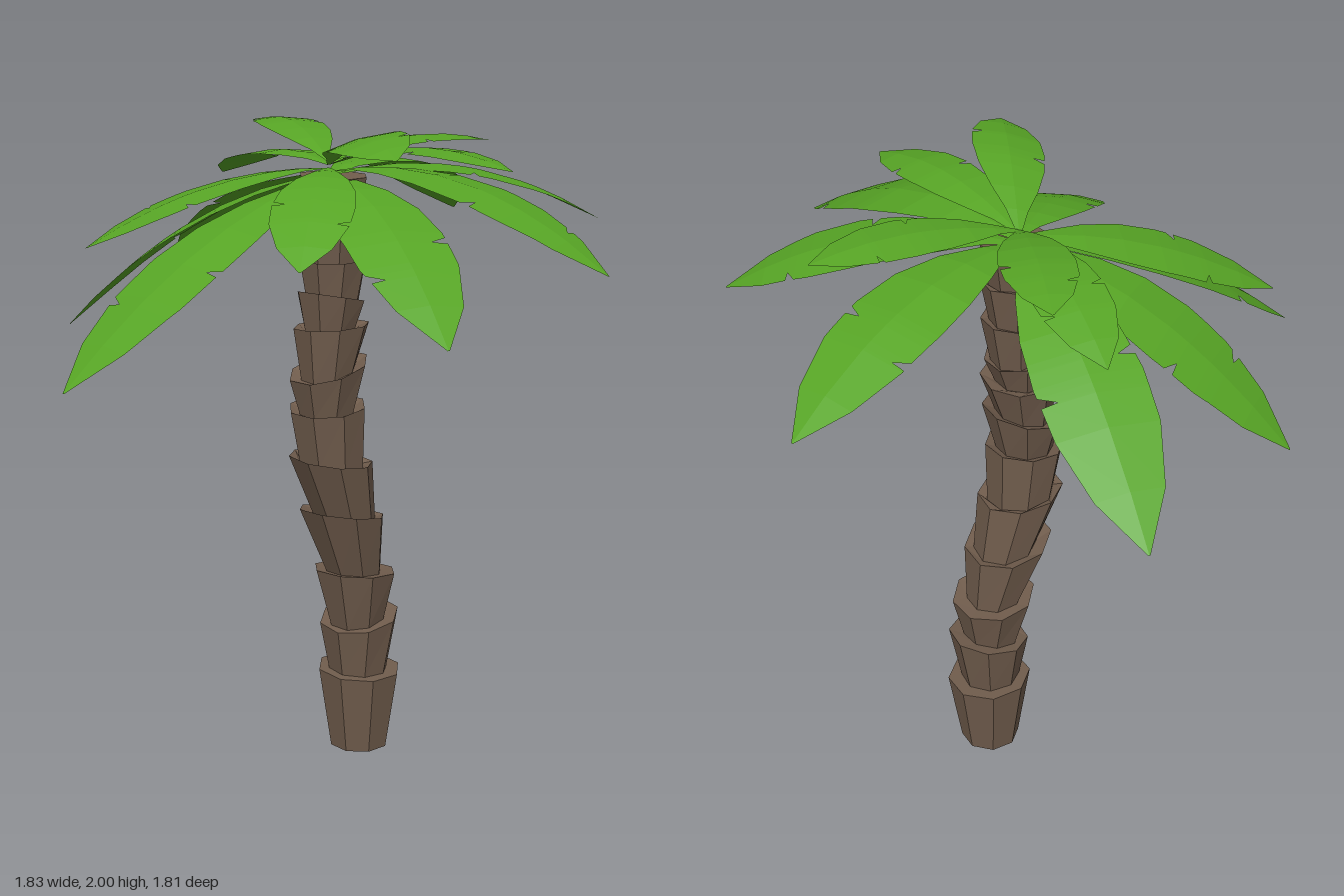
import * as THREE from 'three';

const bark = new THREE.MeshStandardMaterial({ color: 0x715d4d, flatShading: true });
bark.name = 'barkBrown';
const green = new THREE.MeshStandardMaterial({ color: 0x57a525, flatShading: true, side: THREE.DoubleSide });
green.name = 'leafGreen';

function makeMesh(name, positions, index, material) {
  let geo = new THREE.BufferGeometry();
  geo.setAttribute('position', new THREE.Float32BufferAttribute(positions, 3));
  geo.setIndex(index);
  geo = geo.toNonIndexed();
  geo.computeVertexNormals();
  const mesh = new THREE.Mesh(geo, material);
  mesh.name = name;
  return mesh;
}

// Trunk sections, each flaring upward: lower [x, y, radius], upper [x, y, radius], tilt of the upper rim
const SECTIONS = [
  [0.16, 0, 0.095, 0.16, 0.26, 0.135, -0.02],
  [0.155, 0.26, 0.095, 0.16, 0.435, 0.128, 0.18],
  [0.15, 0.43, 0.09, 0.14, 0.595, 0.133, -0.1],
  [0.135, 0.59, 0.09, 0.085, 0.795, 0.138, -0.17],
  [0.095, 0.78, 0.1, 0.04, 0.975, 0.133, -0.11],
  [0.04, 0.96, 0.105, 0.025, 1.145, 0.122, 0.1],
  [0.025, 1.13, 0.088, 0.03, 1.265, 0.124, 0.28],
  [0.03, 1.25, 0.085, 0.042, 1.395, 0.118, 0.03],
  [0.035, 1.38, 0.08, 0.04, 1.485, 0.108, -0.22],
  [0.045, 1.47, 0.083, 0.05, 1.6, 0.106, 0.03],
  [0.048, 1.59, 0.083, 0.05, 1.73, 0.106, -0.04],
  [0.05, 1.72, 0.083, 0.05, 1.85, 0.106, 0],
];

function makeTrunk() {
  const sides = 8, pos = [], idx = [];
  const addRing = (cx, y, r, tilt, twist) => {
    const cz = 0.038 - 0.005 * y;
    for (let j = 0; j < sides; j++) {
      const a = ((j + 0.5) / sides) * Math.PI * 2 + twist;
      const dx = Math.cos(a) * r, dz = Math.sin(a) * r;
      pos.push(cx + dx, y + tilt * dx + (y > 0 ? 0.06 * dz * Math.cos(y * 9) : 0), cz + dz);
    }
  };
  SECTIONS.forEach(([x0, y0, r0, x1, y1, r1, tilt], i) => {
    const twist = 0.12 * Math.sin(i * 2.1);
    const below = i ? SECTIONS[i - 1][6] : 0;
    addRing(x0, y0, r0, below, twist);
    addRing(x1, y1, r1, tilt, twist);
  });
  const rings = SECTIONS.length * 2;
  for (let i = 0; i < rings - 1; i++) {
    for (let j = 0; j < sides; j++) {
      const k = (j + 1) % sides, a = i * sides, b = a + sides;
      idx.push(a + j, b + j, a + k, a + k, b + j, b + k);
    }
  }
  // End caps
  const top = (rings - 1) * sides;
  for (let j = 1; j < sides - 1; j++) {
    idx.push(0, j, j + 1, top, top + j + 1, top + j);
  }
  return makeMesh('trunk', pos, idx, bark);
}

// Half width along a leaf, as a share of its widest point
const OUTLINE = [[0, 0.06], [0.12, 0.3], [0.25, 0.64], [0.4, 0.9], [0.55, 1], [0.7, 0.95], [0.86, 0.64], [1, 0.02]];

function outlineWidth(t) {
  let i = 1;
  while (OUTLINE[i][0] < t) i++;
  const [t0, w0] = OUTLINE[i - 1], [t1, w1] = OUTLINE[i];
  return w0 + ((w1 - w0) * (t - t0)) / (t1 - t0);
}

// Arching leaf with one torn notch on each edge
function makeLeaf({ tip, base, arch, width, roll = 0, notches }) {
  const start = new THREE.Vector3(0.05, base, 0.01);
  const end = new THREE.Vector3(...tip);
  const mid = start.clone().lerp(end, 0.5);
  mid.y += arch * 2;
  const curve = new THREE.QuadraticBezierCurve3(start, mid, end);
  const dir = end.clone().sub(start).setY(0).normalize();
  const side = new THREE.Vector3(-dir.z, 0, dir.x);
  side.multiplyScalar(Math.cos(roll)).setY(Math.sin(roll));

  const rows = OUTLINE.map(([t]) => t);
  notches.forEach((t) => rows.push(t - 0.025, t, t + 0.004));
  rows.sort((a, b) => a - b);
  const pos = [], idx = [];
  rows.forEach((t, i) => {
    const c = curve.getPoint(t);
    [-1, 0, 1].forEach((s) => {
      const torn = s !== 0 && t === notches[s < 0 ? 0 : 1];
      const w = outlineWidth(t) * width * (torn ? 0.68 : 1);
      const p = c.clone().addScaledVector(side, s * w);
      p.y -= Math.abs(s) * w * 0.1;
      pos.push(p.x, p.y, p.z);
    });
    if (i === 0) return;
    const a = (i - 1) * 3, b = i * 3;
    for (let k = 0; k < 2; k++) idx.push(a + k, a + k + 1, b + k, a + k + 1, b + k + 1, b + k);
  });
  return makeMesh('leaf', pos, idx, green);
}

const LEAVES = [
  // Lower drooping leaves
  { tip: [-0.92, 1.32, 0.01], base: 1.85, arch: 0.09, width: 0.16, notches: [0.57, 0.73] },
  { tip: [-0.46, 1.36, -0.65], base: 1.85, arch: 0.1, width: 0.155, notches: [0.75, 0.62] },
  { tip: [0.18, 1.4, -0.91], base: 1.85, arch: 0.11, width: 0.16, notches: [0.5, 0.6] },
  { tip: [0.91, 1.65, -0.32], base: 1.85, arch: 0.11, width: 0.15, notches: [0.69, 0.6] },
  { tip: [0.78, 1.7, 0.44], base: 1.85, arch: 0.09, width: 0.14, notches: [0.77, 0.5] },
  { tip: [0.3, 1.625, 0.9], base: 1.86, arch: 0.11, width: 0.15, notches: [0.82, 0.6] },
  { tip: [-0.26, 1.48, 0.84], base: 1.85, arch: 0.1, width: 0.155, notches: [0.6, 0.75] },
  // Middle leaves
  { tip: [-0.63, 1.66, -0.29], base: 1.87, arch: 0.06, width: 0.13, notches: [0.62, 0.72] },
  { tip: [-0.45, 1.66, 0.46], base: 1.87, arch: 0.06, width: 0.12, notches: [0.7, 0.55] },
  { tip: [0.14, 1.8, -0.62], base: 1.88, arch: 0.06, width: 0.11, notches: [0.55, 0.7] },
  // Raised top leaves
  { tip: [0.67, 1.92, 0.07], base: 1.89, arch: 0.045, width: 0.11, notches: [0.72, 0.5] },
  { tip: [0.18, 1.9, 0.64], base: 1.88, arch: 0.06, width: 0.105, notches: [0.7, 0.55] },
  { tip: [-0.2, 1.95, 0.57], base: 1.88, arch: 0.07, width: 0.11, roll: -0.25, notches: [0.7, 0.5] },
  { tip: [0.27, 1.97, -0.56], base: 1.89, arch: 0.05, width: 0.105, notches: [0.75, 0.6] },
];

export function createModel() {
  const model = new THREE.Group();
  model.name = 'palmTree';
  const crown = new THREE.Group();
  crown.name = 'crown';
  LEAVES.forEach((leaf) => crown.add(makeLeaf(leaf)));
  model.add(makeTrunk(), crown);
  return model;
}
